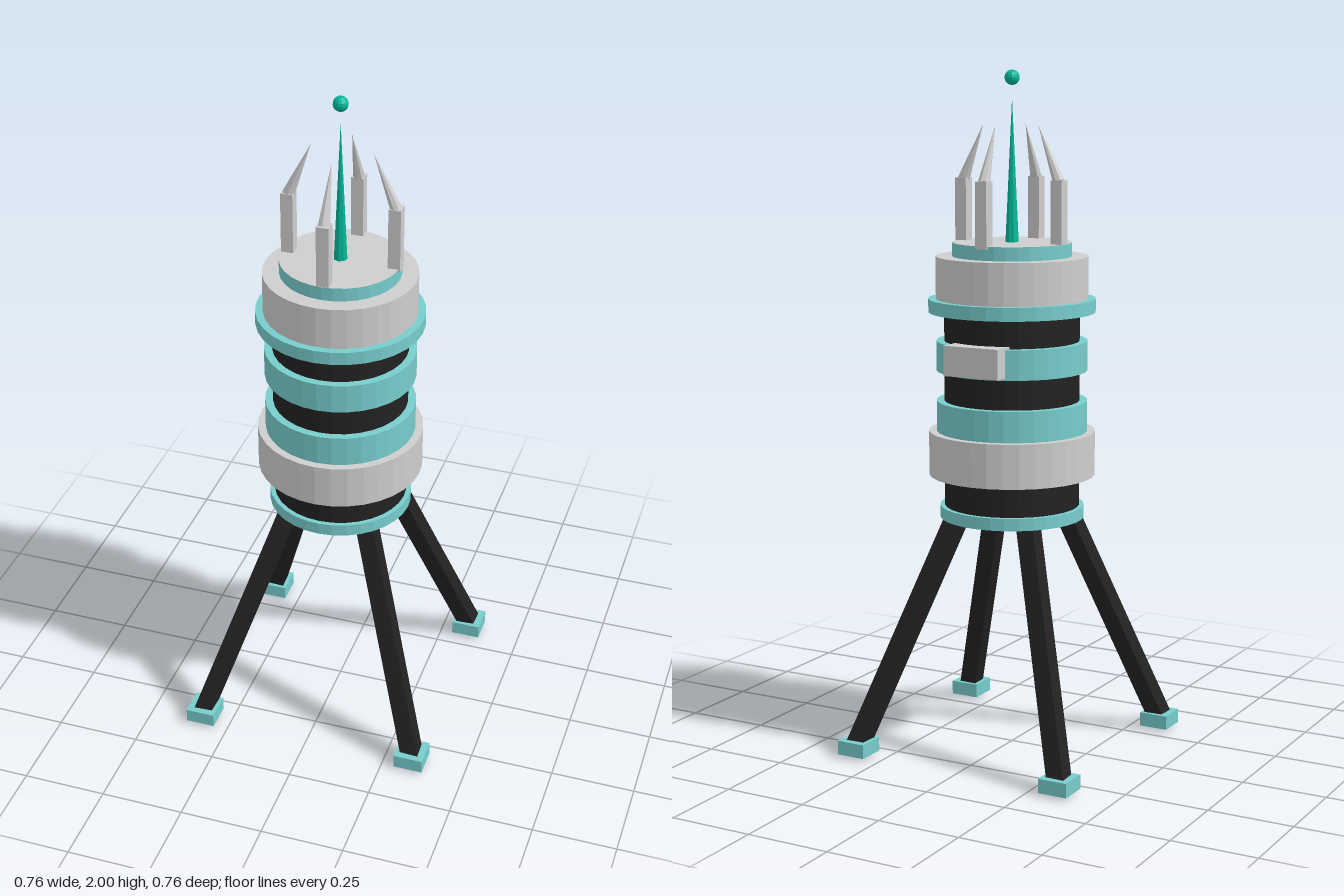
import * as THREE from 'three';

export function createModel() {
  const group = new THREE.Group();
  const mat = (name, color) => {
    const m = new THREE.MeshStandardMaterial({ color });
    m.name = name;
    return m;
  };
  const teal = mat('paleTeal', 0x78cdcd);
  const silver = mat('silverGrey', 0xcecece);
  const black = mat('nearBlack', 0x222222);
  const green = mat('deepGreen', 0x00b999);

  const add = (parent, name, geometry, material, x = 0, y = 0, z = 0) => {
    const mesh = new THREE.Mesh(geometry, material);
    mesh.name = name;
    mesh.position.set(x, y, z);
    parent.add(mesh);
    return mesh;
  };
  // Faceted normals
  const flat = (geometry) => {
    const g = geometry.toNonIndexed();
    g.computeVertexNormals();
    return g;
  };
  // Cylinder between two heights
  const drum = (name, radius, y0, y1, material) => {
    const g = new THREE.CylinderGeometry(radius, radius, y1 - y0, 32);
    const many = Array.isArray(material);
    if (!many) return add(group, name, flat(g), material, 0, (y0 + y1) / 2);
    const f = flat(g);
    g.groups.forEach((p) => f.groups.length < 3 && f.addGroup(p.start, p.count, p.materialIndex));
    return add(group, name, f, material, 0, (y0 + y1) / 2);
  };
  // Part whose own y axis runs from a to b
  const span = (parent, name, geometry, material, a, b) => {
    const mid = a.clone().add(b).multiplyScalar(0.5);
    const mesh = add(parent, name, geometry, material, mid.x, mid.y, mid.z);
    mesh.quaternion.setFromUnitVectors(new THREE.Vector3(0, 1, 0), b.clone().sub(a).normalize());
    return mesh;
  };

  // Body: dark core with stacked collars
  drum('core', 0.198, 0.72, 1.32, black);
  drum('basePlate', 0.212, 0.698, 0.734, teal);
  drum('lowerDrum', 0.244, 0.826, 0.956, silver);
  drum('lowerCollar', 0.221, 0.956, 1.046, teal);
  drum('middleCollar', 0.221, 1.135, 1.222, teal);
  drum('upperFlange', 0.244, 1.306, 1.345, teal);
  drum('upperDrum', 0.222, 1.345, 1.468, silver);
  drum('topCap', 0.174, 1.468, 1.508, [teal, silver, teal]);

  // Control box on the back
  add(group, 'backBox', new THREE.BoxGeometry(0.176, 0.087, 0.08), silver, 0, 1.185, -0.204);

  // Splayed legs with square feet
  for (const sx of [-1, 1]) {
    for (const sz of [-1, 1]) {
      const leg = new THREE.Group();
      leg.name = 'leg';
      group.add(leg);
      const foot = new THREE.Vector3(sx * 0.341, 0.016, sz * 0.341);
      const hip = new THREE.Vector3(sx * 0.112, 0.722, sz * 0.112);
      const length = foot.distanceTo(hip);
      span(leg, 'strut', new THREE.BoxGeometry(0.053, length, 0.053), black, foot, hip);
      add(leg, 'foot', new THREE.BoxGeometry(0.088, 0.042, 0.088), teal, sx * 0.334, 0.03, sz * 0.334);
    }
  }

  // Four posts with claws leaning inwards
  const prongs = new THREE.Group();
  prongs.name = 'prongs';
  prongs.position.set(0.003, 0, -0.003);
  group.add(prongs);
  for (let i = 0; i < 4; i++) {
    const prong = new THREE.Group();
    prong.name = 'prong';
    prong.rotation.y = (i * Math.PI) / 2;
    prongs.add(prong);
    add(prong, 'post', new THREE.BoxGeometry(0.036, 0.19, 0.036), silver, 0.157, 1.595, 0);
    const base = new THREE.Vector3(0.156, 1.686, 0);
    const tip = new THREE.Vector3(0.09, 1.845, 0);
    const cone = flat(new THREE.ConeGeometry(0.018, base.distanceTo(tip), 8));
    span(prong, 'claw', cone, silver, base, tip);
  }

  // Antenna spike and the ball above it
  add(group, 'antenna', flat(new THREE.ConeGeometry(0.02, 0.415, 8)), green, 0, 1.715, 0);
  add(group, 'antennaBall', flat(new THREE.SphereGeometry(0.022, 12, 8)), green, 0, 1.978, 0);

  return group;
}
